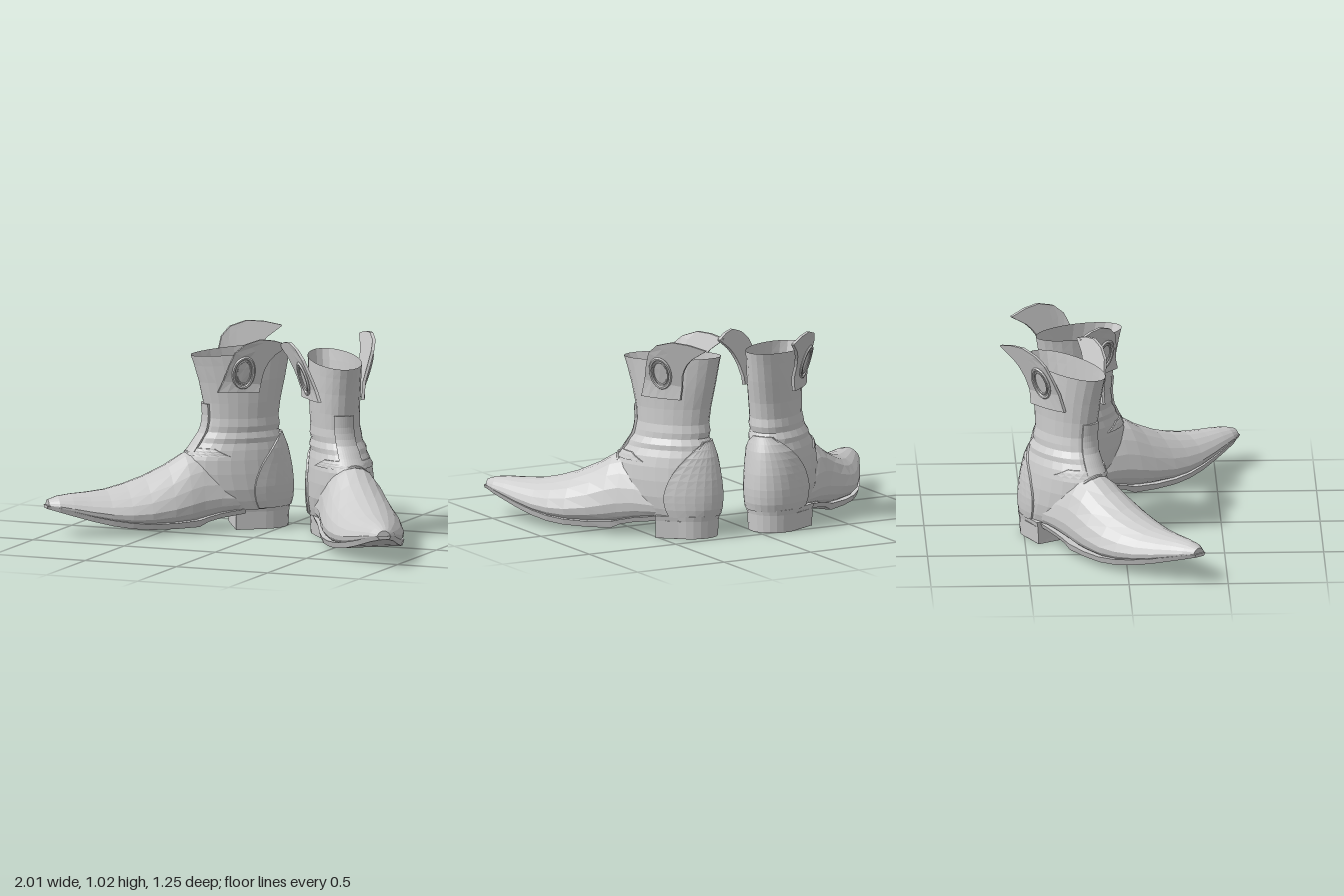
import * as THREE from 'three';

const mat = new THREE.MeshStandardMaterial({ color: 0xcccccc, flatShading: true, side: THREE.DoubleSide });

// Boot space: x = outward, y = up, z = towards the toe.
// Shaft rings: y, back z, front z, half width, x shift
const SHAFT = [
  [0.105, -0.265, 0.16, 0.146, 0.032], [0.15, -0.277, 0.22, 0.156, 0.032], [0.21, -0.28, 0.27, 0.163, 0.03],
  [0.29, -0.272, 0.29, 0.161, 0.028], [0.36, -0.258, 0.285, 0.155, 0.025], [0.41, -0.245, 0.26, 0.147, 0.022],
  [0.445, -0.23, 0.232, 0.136, 0.018], [0.47, -0.222, 0.22, 0.138, 0.015], [0.5, -0.203, 0.198, 0.125, 0.01],
  [0.53, -0.208, 0.192, 0.127, 0.006], [0.57, -0.2, 0.185, 0.121, 0.003], [0.65, -0.21, 0.192, 0.122, 0],
  [0.76, -0.235, 0.215, 0.125, 0], [0.85, -0.253, 0.24, 0.125, 0], [0.905, -0.265, 0.258, 0.125, 0],
];
// Foot sections: z, bottom y, top y, x shift, half width
const FOOT = [
  [-0.1, 0.09, 0.28, 0.032, 0.135], [0.03, 0.088, 0.34, 0.035, 0.152], [0.13, 0.075, 0.39, 0.036, 0.162],
  [0.22, 0.057, 0.408, 0.034, 0.172], [0.29, 0.045, 0.388, 0.031, 0.183], [0.38, 0.042, 0.333, 0.03, 0.193],
  [0.5, 0.042, 0.278, 0.031, 0.195], [0.6, 0.05, 0.245, 0.028, 0.181], [0.7, 0.066, 0.222, 0.022, 0.155],
  [0.8, 0.09, 0.213, 0.015, 0.123], [0.89, 0.115, 0.209, 0.008, 0.092], [0.96, 0.135, 0.201, 0.003, 0.067],
  [1.01, 0.147, 0.185, 0, 0.034],
];
// Sole sections: z, bottom y, thickness
const SOLE = [
  [0.0, 0.085, 0.025], [0.13, 0.07, 0.025], [0.2, 0.055, 0.025], [0.25, 0.032, 0.035], [0.38, 0.03, 0.03],
  [0.5, 0.031, 0.03], [0.6, 0.038, 0.03], [0.7, 0.054, 0.03], [0.8, 0.078, 0.027], [0.89, 0.104, 0.024],
  [0.96, 0.125, 0.022], [1.0, 0.136, 0.02], [1.02, 0.142, 0.016],
];

const lerp = THREE.MathUtils.lerp;

// Linear lookup in a table keyed by its first column
function sample(table, key) {
  let i = 0;
  while (i < table.length - 2 && table[i + 1][0] < key) i++;
  const a = table[i], b = table[i + 1];
  const k = THREE.MathUtils.clamp((key - a[0]) / (b[0] - a[0]), 0, 1);
  return a.map((v, j) => lerp(v, b[j], k));
}

// Skin a list of closed rings of [x, y, z] points, with optional end caps
function loft(name, rings, caps = true) {
  const n = rings[0].length, pos = rings.flat(2), idx = [];
  for (let r = 0; r < rings.length - 1; r++) {
    for (let i = 0; i < n; i++) {
      const a = r * n + i, b = r * n + (i + 1) % n;
      idx.push(a, b, b + n, a, b + n, a + n);
    }
  }
  if (caps) {
    const last = (rings.length - 1) * n;
    for (let i = 1; i < n - 1; i++) idx.push(0, i + 1, i, last, last + i, last + i + 1);
  }
  const g = new THREE.BufferGeometry();
  g.setAttribute('position', new THREE.Float32BufferAttribute(pos, 3));
  g.setIndex(idx);
  g.computeVertexNormals();
  const m = new THREE.Mesh(g, mat);
  m.name = name;
  return m;
}

// Point on the shaft; angle 0 is the front
function shaftPoint(t, y, off = 0) {
  const [, back, front, half, cx] = sample(SHAFT, y);
  const tilt = Math.max(0, y - 0.6) * 0.05;
  return [cx + (half + off) * Math.sin(t), y - tilt * Math.cos(t),
    (back + front) / 2 + ((front - back) / 2 + off) * Math.cos(t)];
}

// Raised leather panel that follows the shaft
function panel(name, centre, widthAt, y0, y1, off, rows = 8, cols = 10) {
  const rings = [];
  for (let r = 0; r <= rows; r++) {
    const y = lerp(y0, y1, r / rows), w = widthAt(r / rows), outer = [], inner = [];
    for (let c = 0; c <= cols; c++) {
      const t = centre + lerp(-w, w, c / cols);
      outer.push(shaftPoint(t, y, off));
      inner.unshift(shaftPoint(t, y, -0.004));
    }
    rings.push([...outer, ...inner]);
  }
  return loft(name, rings);
}

// Foot cross-section: domed top, flat underside
function footRing([z, bot, top, cx, half], n = 20) {
  const mid = lerp(bot, top, 0.3), ring = [];
  for (let i = 0; i < n; i++) {
    const a = (i / n) * Math.PI * 2, c = Math.cos(a), s = Math.sin(a);
    const x = s >= 0 ? c * (1 - 0.18 * s) : Math.sign(c) * Math.abs(c) ** 0.5;
    ring.push([cx + half * x, s >= 0 ? mid + (top - mid) * s : mid - (mid - bot) * Math.abs(s) ** 0.7, z]);
  }
  return ring;
}

// Heel layer: rounded back, sides flaring to a slanted front face
function heelLayer(name, y0, y1, grow) {
  const ring = (y, g) => {
    const pts = [[0.2 + g, y, 0.004], [-0.09 - g, y, 0.045]];
    for (let i = 0; i <= 12; i++) {
      const a = (i / 12) * Math.PI;
      pts.push([0.037 - (0.135 + g) * Math.cos(a), y, -0.11 - (0.155 + g) * Math.sin(a)]);
    }
    return pts;
  };
  return loft(name, [ring(y0, grow - 0.005), ring(y1, grow)]);
}

// Sideways position of a pull flap, leaning out towards the top
const flapX = (y, z) => 0.141 + 0.3 * Math.max(0, y - 0.78) - 1.3 * Math.max(0, z) ** 2;

// Pull flap: rows run from the front edge to the back edge and end in a swept tip
function pullFlap(side) {
  const g = new THREE.Group();
  g.name = side > 0 ? 'outerPullFlap' : 'innerPullFlap';
  // The inner flap is lower, shorter and splays further out at its tip
  const [drop, shift, reach, splay] = side > 0 ? [0, -0.025, 1, 0] : [-0.03, 0.01, 0.78, 0.12];
  const front = [[0.14, 0.71], [0.115, 0.8], [0.095, 0.88], [0.07, 0.95], [0.02, 0.995], [-0.07, 1.02], [-0.16, 1.012], [-0.25, 0.99]];
  const back = [[-0.085, 0.71], [-0.095, 0.78], [-0.105, 0.84], [-0.12, 0.875], [-0.14, 0.905], [-0.17, 0.935], [-0.21, 0.96], [-0.252, 0.986]];
  const point = (z, y, off) => [side * (flapX(y, z) + off + splay * Math.max(0, -z)),
    y + drop * (y > 0.72 ? 1 : 0), z * (z < 0 ? reach : 1) + shift];
  const rings = front.map((f, r) => {
    const outer = [], inner = [];
    for (let c = 0; c <= 5; c++) {
      const z = lerp(f[0], back[r][0], c / 5), y = lerp(f[1], back[r][1], c / 5);
      outer.push(point(z, y, 0.008));
      inner.unshift(point(z, y, -0.008));
    }
    return [...outer, ...inner];
  });
  g.add(loft('flapLeather', rings));
  // Oval rings stitched on the flap
  for (const [name, rz, ry, tube] of [['ovalRing', 0.055, 0.078, 0.009], ['innerOvalRing', 0.04, 0.06, 0.005]]) {
    const path = [];
    for (let i = 0; i < 20; i++) {
      const a = (i / 20) * Math.PI * 2;
      path.push(new THREE.Vector3(...point(0.015 + rz * Math.cos(a), 0.845 + ry * Math.sin(a), 0.01)));
    }
    const m = new THREE.Mesh(new THREE.TubeGeometry(new THREE.CatmullRomCurve3(path, true), 28, tube, 6, true), mat);
    m.name = name;
    g.add(m);
  }
  return g;
}

function makeBoot(name) {
  const boot = new THREE.Group();
  boot.name = name;
  const ringAt = (y, off = 0) => Array.from({ length: 24 }, (_, i) => shaftPoint((i / 24) * Math.PI * 2, y, off));

  // Open shaft with insole inside
  boot.add(loft('shaft', SHAFT.map((r) => ringAt(r[0])), false));
  boot.add(loft('insole', [ringAt(0.405, -0.004), ringAt(0.415, -0.004)]));
  boot.add(loft('foot', FOOT.map((f) => footRing(f))));

  // Thin sole that follows the foot outline
  boot.add(loft('sole', SOLE.map(([z, y, h]) => {
    const [, , , cx, half] = sample(FOOT, z);
    const w = half + 0.001;
    return [[cx - w + 0.01, y, z], [cx + w - 0.01, y, z], [cx + w, y + h, z], [cx - w, y + h, z]];
  })));
  boot.add(heelLayer('heelBlock', 0, 0.092, 0));
  boot.add(heelLayer('heelWelt', 0.09, 0.116, 0.006));

  // Heel counter, front strap and instep fold
  boot.add(panel('heelCounter', Math.PI, (k) => 1.5 * Math.sqrt(1 - 0.93 * k * k), 0.11, 0.485, 0.009, 10, 14));
  boot.add(panel('frontStrap', 0, () => 0.4, 0.4, 0.645, 0.01));
  boot.add(panel('ankleFold', 0, (k) => lerp(1.3, 0.9, k), 0.38, 0.42, 0.006, 3, 12));
  const vamp = [-1, -0.6, 0, 0.6, 1].map((k) => new THREE.Vector3(0.035 + 0.1 * k, 0.395 - 0.075 * k * k, 0.275 - 0.06 * k * k));
  const seam = new THREE.Mesh(new THREE.TubeGeometry(new THREE.CatmullRomCurve3(vamp), 14, 0.008, 6), mat);
  seam.name = 'vampSeam';
  boot.add(seam);

  boot.add(pullFlap(1), pullFlap(-1));
  return boot;
}

export function createModel() {
  const model = new THREE.Group();
  model.name = 'pairOfBoots';
  const left = makeBoot('leftBoot');
  left.position.set(0.357, 0, -0.203);
  left.rotation.y = 0.649;
  const right = makeBoot('rightBoot');
  right.scale.x = -1;
  right.position.set(-0.198, 0, -0.283);
  right.rotation.y = -0.89;
  model.add(left, right);
  return model;
}
